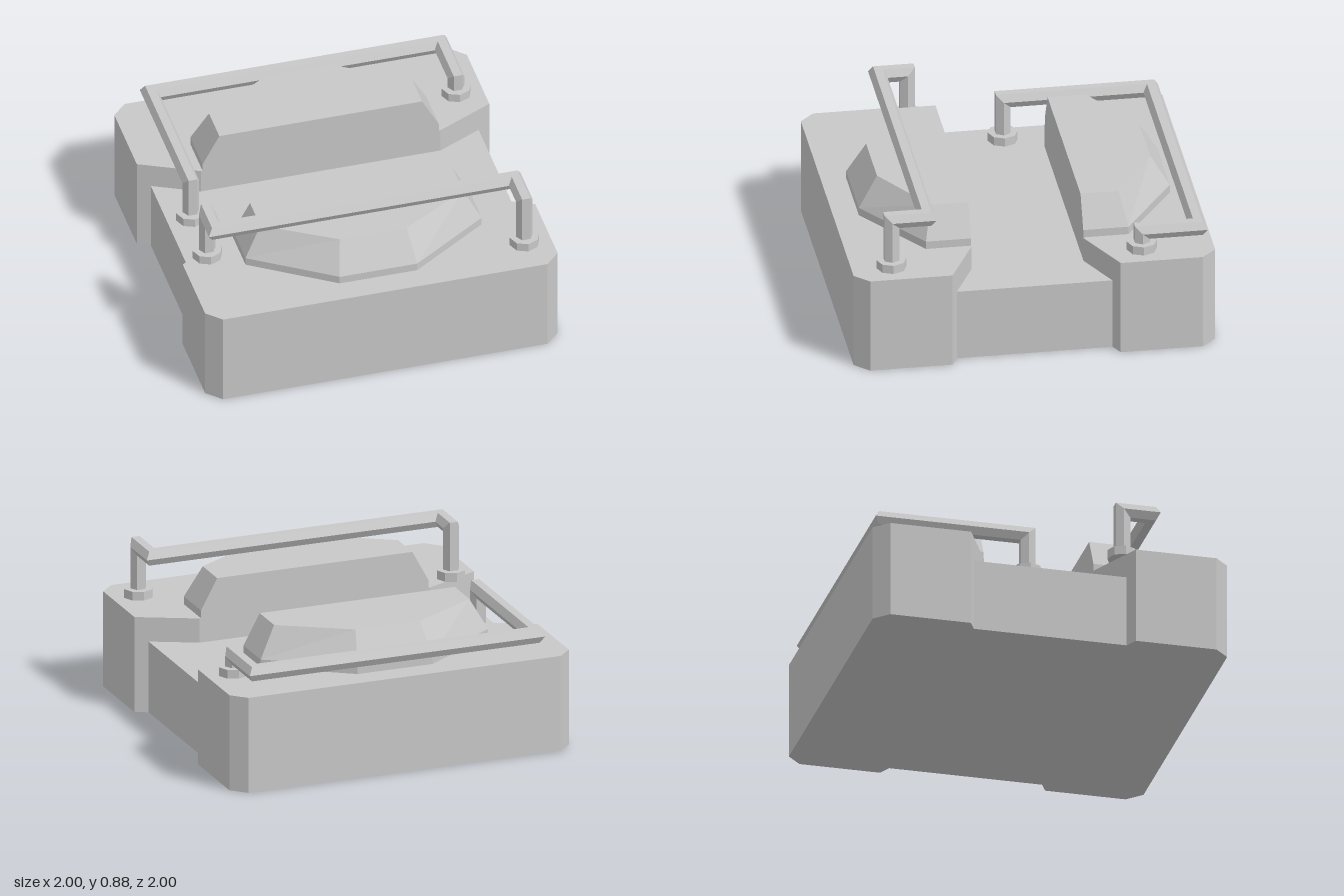
import * as THREE from 'three';

const V = (x, y, z) => new THREE.Vector3(x, y, z);

// Joins rings of points (counter-clockwise about the direction of travel) into a faceted surface
function loft(rings, capEnd) {
  const pos = [];
  const tri = (...pts) => pts.forEach(p => pos.push(p.x, p.y, p.z));
  const n = rings[0].length;
  for (let r = 0; r < rings.length - 1; r++) {
    const a = rings[r], b = rings[r + 1];
    for (let i = 0; i < n; i++) {
      const j = (i + 1) % n;
      tri(a[i], a[j], b[j]);
      tri(a[i], b[j], b[i]);
    }
  }
  const end = rings[rings.length - 1];
  if (capEnd) for (let i = 1; i < n - 1; i++) tri(end[0], end[i], end[i + 1]);
  const geo = new THREE.BufferGeometry();
  geo.setAttribute('position', new THREE.Float32BufferAttribute(pos, 3));
  geo.computeVertexNormals();
  return geo;
}

// Hexagonal bar along a path, with mitred corners
function hexBar(points, radius) {
  const side = V(1, 0, 0);
  const last = points.length - 1;
  const dir = i => points[i + 1].clone().sub(points[i]).normalize();
  const rings = points.map((p, i) => {
    const d1 = dir(Math.max(i - 1, 0));
    const d2 = dir(Math.min(i, last - 1));
    const up = d1.clone().cross(side);
    const mitre = d1.clone().add(d2);
    const ring = [];
    for (let k = 0; k < 6; k++) {
      const a = k * Math.PI / 3;
      const o = side.clone().multiplyScalar(radius * Math.cos(a))
        .addScaledVector(up, radius * Math.sin(a));
      o.addScaledVector(d1, -o.dot(mitre) / d1.dot(mitre));
      ring.push(o.add(p));
    }
    side.applyQuaternion(new THREE.Quaternion().setFromUnitVectors(d1, d2));
    return ring;
  });
  return loft(rings, false);
}

export function createModel() {
  const model = new THREE.Group();
  model.name = 'pipedBlock';
  const grey = new THREE.MeshStandardMaterial({ color: 0xc8c8c8 });
  grey.name = 'plainGrey';

  const add = (name, geo, parent = model) => {
    const mesh = new THREE.Mesh(geo, grey);
    mesh.name = name;
    parent.add(mesh);
    return mesh;
  };

  // Lower middle block
  add('middleBlock', new THREE.BoxGeometry(1.86, 0.41, 0.86)).position.y = 0.205;

  // Chamfered end block, outline in x and z
  const outline = [[-0.68, 0.31], [-1, 0.465], [-1, 0.92], [-0.92, 1],
    [0.92, 1], [1, 0.92], [1, 0.465], [0.68, 0.31]];
  const shape = new THREE.Shape(outline.map(([x, z]) => new THREE.Vector2(x, -z)));
  const blockGeo = new THREE.ExtrudeGeometry(shape, { depth: 0.55, bevelEnabled: false });
  blockGeo.rotateX(-Math.PI / 2);

  // Raised hump with a short skirt and sloping sides
  const humpRing = (y, w, z, wFront, zFront) => [[-w, 0.31], [-w, z], [-wFront, zFront],
    [wFront, zFront], [w, z], [w, 0.31]].map(([x, zz]) => V(x, y, zz));
  const humpGeo = loft([
    humpRing(0.55, 0.67, 0.56, 0.22, 0.86),
    humpRing(0.595, 0.67, 0.56, 0.22, 0.86),
    humpRing(0.77, 0.575, 0.52, 0.19, 0.755),
  ], true);

  for (const [name, turn] of [['front', 0], ['back', Math.PI]]) {
    const half = new THREE.Group();
    half.name = name + 'End';
    half.rotation.y = turn;
    add(name + 'Block', blockGeo, half);
    add(name + 'Hump', humpGeo, half);
    model.add(half);
  }

  // Pipes
  const pipes = {
    frontPipe: [V(0.85, 0.57, 0.78), V(0.85, 0.84, 0.78), V(0.85, 0.84, 0.585),
      V(-0.85, 0.84, 0.585), V(-0.85, 0.84, 0.425), V(-0.85, 0.57, 0.425)],
    backPipe: [V(0.85, 0.57, -0.605), V(0.85, 0.66, -0.605), V(0.85, 0.66, -0.915),
      V(-0.797, 0.66, -0.915), V(-0.797, 0.66, -0.097), V(-0.797, 0.43, -0.097)],
  };
  // Octagonal collar where each pipe end meets the block
  const collarGeo = new THREE.CylinderGeometry(0.083, 0.083, 0.05, 8).toNonIndexed();
  collarGeo.computeVertexNormals();
  for (const [name, path] of Object.entries(pipes)) {
    add(name, hexBar(path, 0.047));
    for (const p of [path[0], path[path.length - 1]])
      add(name + 'Collar', collarGeo).position.set(p.x, p.y + 0.005, p.z);
  }
  return model;
}
